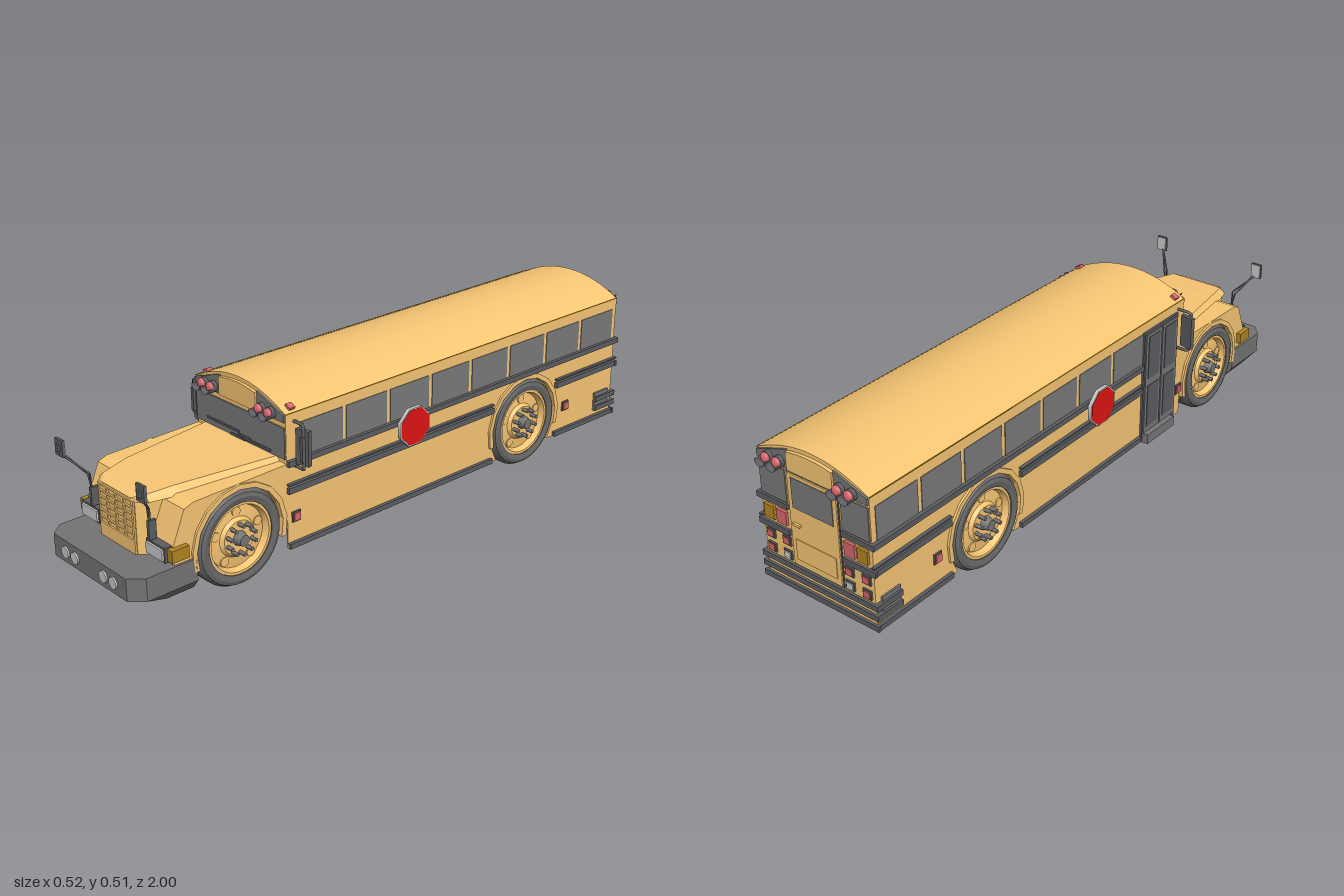
import * as THREE from 'three';
import { toCreasedNormals } from 'three/addons/utils/BufferGeometryUtils.js';

const mat = (color, o = {}) => new THREE.MeshStandardMaterial({ color, ...o });

export function createModel() {
  const bus = new THREE.Group();
  const yellow = mat(0xf8c674), flatYellow = mat(0xf8c674, { flatShading: true });
  const grey = mat(0x777777), glass = mat(0x7a7a7a), dark = mat(0x5c5e62), rubber = mat(0x686868);
  const darkFlat = mat(0x747474, { flatShading: true });
  const red = mat(0xd8666c), amber = mat(0xb08422), lamp = mat(0xc4c4c4), signRed = mat(0xe01414), plain = mat(0xcccccc);

  const add = (name, geo, m, parent = bus) => {
    const mesh = new THREE.Mesh(geo, m);
    mesh.name = name;
    parent.add(mesh);
    return mesh;
  };
  // Box given by its min and max along each axis
  const box = (name, m, [x0, x1], [y0, y1], [z0, z1], parent = bus) => {
    const b = add(name, new THREE.BoxGeometry(Math.abs(x1 - x0), y1 - y0, Math.abs(z1 - z0)), m, parent);
    b.position.set((x0 + x1) / 2, (y0 + y1) / 2, (z0 + z1) / 2);
    return b;
  };
  const shapeOf = pts => new THREE.Shape(pts.map(p => new THREE.Vector2(...p)));
  const extrude = (shape, depth) => new THREE.ExtrudeGeometry(shape, { depth, bevelEnabled: false });
  // Extrusion of a (z, y) side profile from x0 to x1, mirrored by s
  const sideExtrude = (shape, s, x0, x1) => extrude(shape, x1 - x0).rotateY(-Math.PI / 2).translate(s > 0 ? x1 : -x0, 0, 0);
  const disc = (name, m, r, depth, x, y, z, parent = bus) => {
    add(name, new THREE.CylinderGeometry(r, r, depth, 20).rotateX(Math.PI / 2), m, parent).position.set(x, y, z);
  };
  const tube = (name, m, pts, r) => {
    const path = new THREE.CurvePath();
    const v = pts.map(p => new THREE.Vector3(...p));
    for (let i = 1; i < v.length; i++) path.add(new THREE.LineCurve3(v[i - 1], v[i]));
    add(name, new THREE.TubeGeometry(path, pts.length * 8, r, 8), m);
  };
  // Closed solid through equal-length rings
  const loft = rings => {
    const pos = [], n = rings[0].length;
    const tri = (...p) => p.forEach(q => pos.push(...q));
    for (let i = 0; i + 1 < rings.length; i++) for (let j = 0; j < n; j++) {
      const k = (j + 1) % n, a = rings[i], b = rings[i + 1];
      tri(a[j], a[k], b[k]);
      tri(a[j], b[k], b[j]);
    }
    const s = rings[0], e = rings[rings.length - 1];
    for (let j = 1; j + 1 < n; j++) { tri(s[0], s[j + 1], s[j]); tri(e[0], e[j], e[j + 1]); }
    const g = new THREE.BufferGeometry();
    g.setAttribute('position', new THREE.Float32BufferAttribute(pos, 3));
    g.computeVertexNormals();
    return g;
  };

  const FRONT = 0.47, REAR = -0.96, AXLES = [0.64, -0.515], AY = 0.145;
  // Faceted wheel opening from low z to high z, cut at height y0
  const arch = (zc, y0, r = 0.155) => {
    const a0 = Math.asin((y0 - AY) / r), out = [];
    for (let i = 0; i <= 10; i++) {
      const a = Math.PI - a0 - i * (Math.PI - 2 * a0) / 10;
      out.push([zc + r * Math.cos(a), AY + r * Math.sin(a)]);
    }
    return out;
  };

  // Body shell, open underneath: roof with upper walls, then end walls
  const roofY = x => 0.46 + 0.053 * (1 - (x / 0.2) ** 2);
  const roofLine = [], innerLine = [];
  for (let i = 0; i <= 20; i++) {
    const x = 0.2 - i * 0.02;
    roofLine.push([x, roofY(x)]);
    innerLine.unshift([x * 0.975, roofY(x) - 0.005]);
  }
  const shell = shapeOf([[0.2, 0.31], ...roofLine, [-0.2, 0.31], [-0.195, 0.31], ...innerLine, [0.195, 0.31]]);
  add('roofAndWalls', toCreasedNormals(extrude(shell, FRONT - REAR).translate(0, 0, REAR), 0.4), yellow);
  const endWall = (name, y0, z) => add(name, extrude(shapeOf([[-0.2, y0], [0.2, y0], ...roofLine]), 0.005).translate(0, 0, z), yellow);
  endWall('frontWall', 0.31, FRONT - 0.005);
  endWall('rearWall', 0.05, REAR);

  // Engine hood, tapering to the nose
  const hoodRing = (z, w, wt, yt) => [[-w, 0.09, z], [w, 0.09, z], [w, 0.295, z], [wt + 0.02, 0.3, z], [wt, yt, z],
    [-wt, yt, z], [-wt - 0.02, 0.3, z], [-w, 0.295, z]];
  add('hood', loft([hoodRing(FRONT, 0.11, 0.16, 0.326), hoodRing(0.78, 0.11, 0.115, 0.324),
    hoodRing(0.87, 0.105, 0.095, 0.316), hoodRing(0.895, 0.085, 0.065, 0.305)]), flatYellow);
  box('chassis', grey, [-0.12, 0.12], [0.06, 0.13], [FRONT, 0.82]);

  // Grille panel with slots
  const grille = shapeOf([[-0.082, 0.14], [0.082, 0.14], [0.082, 0.303], [-0.082, 0.303]]);
  for (let r = 0; r < 6; r++) for (let c = 0; c < 4; c++) {
    const x = -0.0775 + c * 0.0395, y = 0.183 + r * 0.0198;
    grille.holes.push(shapeOf([[x, y], [x, y + 0.015], [x + 0.033, y + 0.015], [x + 0.033, y]]));
  }
  add('grille', extrude(grille, 0.008).translate(0, 0, 0.892), yellow);

  // Front bumper with cut corners and sloped underside
  const bumperRing = (y, w, zf, zc) => [[-w, y, 0.79], [-w, y, zc], [-w + 0.035, y, zf], [w - 0.035, y, zf], [w, y, zc], [w, y, 0.79]];
  add('frontBumper', loft([bumperRing(0.045, 0.185, 0.93, 0.88), bumperRing(0.075, 0.207, 0.995, 0.955),
    bumperRing(0.143, 0.207, 0.995, 0.955)]), darkFlat);

  // Windshield and wipers
  box('windshield', glass, [-0.198, 0.198], [0.326, 0.42], [FRONT, 0.474]);
  for (const [x0, x1, y] of [[-0.145, 0.0, 0.348], [0.0, 0.05, 0.34], [-0.035, 0.03, 0.331], [0.03, 0.14, 0.336]]) {
    box('wiper', dark, [x0, x1], [y - 0.003, y + 0.003], [0.474, 0.479]);
  }

  // Warning-light panels at both ends
  const visorMat = mat(0x5c5e62, { side: THREE.DoubleSide });
  for (const s of [1, -1]) {
    const end = new THREE.Group();
    end.name = s > 0 ? 'frontWarningLights' : 'rearWarningLights';
    end.position.z = s > 0 ? FRONT : REAR;
    end.rotation.y = s > 0 ? 0 : Math.PI;
    bus.add(end);
    const crown = [[-0.082, 0.437], [0.082, 0.437]];
    for (let i = 0; i <= 8; i++) crown.push([0.082 - i * 0.0205, roofY(0.082 - i * 0.0205) - 0.012]);
    add('crownPanel', extrude(shapeOf(crown), 0.01), yellow, end);
    for (const k of [-1, 1]) {
      const pts = [[0.084, 0.437], [0.198, 0.437], [0.198, 0.458], [0.14, 0.478], [0.084, 0.497]].map(([x, y]) => [k * x, y]);
      add('lightPanel', extrude(shapeOf(pts), 0.006), grey, end);
      for (const x of [0.108, 0.149]) {
        disc('lightHousing', dark, 0.0165, 0.016, k * x, 0.455, 0.01, end);
        const bulb = add('warningLight', new THREE.SphereGeometry(0.0155, 16, 10), red, end);
        bulb.position.set(k * x, 0.455, 0.02);
        bulb.scale.z = 0.7;
        const visor = add('lightVisor', new THREE.CylinderGeometry(0.018, 0.018, 0.036, 16, 1, true, Math.PI / 2, Math.PI)
          .rotateX(-Math.PI / 2), visorMat, end);
        visor.position.set(k * x, 0.455, 0.024);
      }
    }
  }

  // Wheel parts, facing +x
  const lathe = pts => toCreasedNormals(new THREE.LatheGeometry(pts.map(p => new THREE.Vector2(...p)), 40).rotateZ(-Math.PI / 2), 0.5);
  const tireGeo = lathe([[0, 0.11], [0.125, 0.11], [0.145, 0.118], [0.145, 0.19], [0.136, 0.206], [0.125, 0.21], [0.108, 0.206], [0.106, 0.175]]);
  const rimGeo = lathe([[0.108, 0.185], [0.108, 0.203], [0.1, 0.203], [0.093, 0.183], [0.06, 0.187], [0.052, 0.198], [0, 0.198]]);
  const boltGeo = new THREE.CylinderGeometry(0.006, 0.006, 0.025, 6).rotateZ(Math.PI / 2);
  const holeGeo = new THREE.CylinderGeometry(0.014, 0.014, 0.006, 16).rotateZ(Math.PI / 2);
  const ring = (name, geo, m, n, r, x, parent) => {
    for (let i = 0; i < n; i++) {
      const a = Math.PI / 2 + i * 2 * Math.PI / n;
      add(name, geo, m, parent).position.set(x, r * Math.sin(a), r * Math.cos(a));
    }
  };
  for (const zc of AXLES) for (const s of [1, -1]) {
    const wheel = new THREE.Group();
    wheel.name = zc > 0 ? 'frontWheel' : 'rearWheel';
    wheel.position.set(0, AY, zc);
    wheel.rotation.y = s > 0 ? 0 : Math.PI;
    bus.add(wheel);
    add('tire', tireGeo, rubber, wheel);
    add('rim', rimGeo, yellow, wheel);
    ring('rimHole', holeGeo, yellow, 5, 0.077, 0.186, wheel);
    ring('wheelBolt', boltGeo, grey, 10, 0.043, 0.209, wheel);
    add('hub', new THREE.CylinderGeometry(0.016, 0.023, 0.028, 16).rotateZ(-Math.PI / 2), grey, wheel).position.x = 0.208;
  }

  // Rubber rails, bumper strips and rear rails
  const rails = [[0.305, 0.322], [0.222, 0.24], [0.247, 0.252], [0.05, 0.066]];
  const rearEdge = REAR - 0.008;
  for (const y of [0.05, 0.083, 0.115]) box('rearBumperRail', dark, [-0.213, 0.213], [y, y + 0.017], [rearEdge, REAR]);

  for (const s of [1, -1]) {
    const X = (a, b) => [s * a, s * b];

    // Lower side wall with rear wheel opening
    const wall = shapeOf([[REAR, 0.05], ...arch(AXLES[1], 0.05), [FRONT, 0.05], [FRONT, 0.31], [REAR, 0.31]]);
    add('lowerWall', sideExtrude(wall, s, 0.195, 0.2), yellow);

    // Rear wheel well
    const well = [...arch(AXLES[1], 0.05, 0.158), ...arch(AXLES[1], 0.05, 0.154).reverse()];
    add('wheelWell', sideExtrude(shapeOf(well), s, 0.1, 0.195), flatYellow);
    add('wheelWellInner', sideExtrude(shapeOf(arch(AXLES[1], 0.05)), s, 0.1, 0.104), yellow);

    const start = s > 0 ? FRONT : 0.24;
    rails.forEach(([y0, y1], i) => {
      if (i === 0) box('sideRail', dark, X(0.2, 0.213), [y0, y1], [rearEdge, start]);
      else {
        box('sideRail', dark, X(0.2, 0.211), [y0, y1], [-0.365, start]);
        box('sideRail', dark, X(0.2, 0.211), [y0, y1], [rearEdge, -0.665]);
      }
      if (i < 2) box('rearRail', dark, X(0.098, 0.213), [y0, y1], [rearEdge, REAR]);
    });
    for (const y of [0.083, 0.115]) box('cornerRail', dark, X(0.2, 0.213), [y, y + 0.017], [rearEdge, -0.87]);
    box('cornerPlate', grey, X(0.2, 0.206), [0.083, 0.145], [-0.94, -0.87]);

    // Side windows
    for (let i = s > 0 ? 0 : 1; i < 8; i++) {
      const z = 0.42 - i * 0.172;
      box('sideWindow', glass, X(0.193, 0.202), [0.322, 0.425], [z - 0.158, z]);
    }
    box('roofSeam', amber, X(0.199, 0.202), [0.458, 0.461], [REAR, FRONT]);

    // Wheel arch lips and front fender
    for (const zc of AXLES) {
      const lip = shapeOf([...arch(zc, 0.1, 0.164), ...arch(zc, 0.1, 0.149).reverse()]);
      add('wheelArch', sideExtrude(lip, s, 0.19, 0.207), yellow);
    }
    const fender = shapeOf([[FRONT, 0.14], ...arch(AXLES[0], 0.14), [0.86, 0.14], [0.86, 0.2], [0.82, 0.295], [0.79, 0.306], [FRONT, 0.312]]);
    add('frontFender', sideExtrude(fender, s, 0.1, 0.2), yellow);

    // Headlight, turn signal, fog lights
    box('headlightFrame', dark, X(0.111, 0.194), [0.155, 0.2], [0.84, 0.884]);
    box('headlight', lamp, X(0.116, 0.189), [0.161, 0.194], [0.884, 0.89]);
    box('turnSignal', amber, X(0.19, 0.216), [0.16, 0.196], [0.82, 0.876]);
    for (const x of [0.068, 0.114]) disc('fogLight', lamp, 0.0175, 0.01, s * x, 0.108, 0.995);

    // Hood mirror on its stalk
    box('mirrorBase', dark, X(0.13, 0.14), [0.205, 0.262], [0.868, 0.892]);
    tube('mirrorStalk', dark, [[s * 0.135, 0.255, 0.885], [s * 0.143, 0.3, 0.89], [s * 0.19, 0.372, 0.945]], 0.003);
    tube('mirrorBrace', dark, [[s * 0.135, 0.23, 0.885], [s * 0.133, 0.305, 0.89], [s * 0.188, 0.362, 0.945]], 0.0025);
    box('hoodMirror', dark, X(0.172, 0.208), [0.355, 0.405], [0.938, 0.946]);
    box('hoodMirrorBack', dark, X(0.183, 0.197), [0.37, 0.39], [0.946, 0.953]);
    box('hoodMirrorGlass', plain, X(0.174, 0.206), [0.357, 0.403], [0.935, 0.938]);

    // Side mirror on its bracket
    tube('mirrorBracket', dark, [[s * 0.198, 0.434, 0.44], [s * 0.235, 0.434, 0.44], [s * 0.245, 0.428, 0.445],
      [s * 0.245, 0.305, 0.445], [s * 0.235, 0.3, 0.44], [s * 0.198, 0.3, 0.44]], 0.005);
    box('sideMirror', dark, X(0.215, 0.26), [0.314, 0.42], [0.432, 0.446]).rotation.y = s * 0.2;
    box('mirrorClamp', dark, X(0.24, 0.251), [0.328, 0.402], [0.444, 0.455]);

    // Stop sign
    const octagon = (name, m, r, t) => add(name, new THREE.CylinderGeometry(r, r, t, 8).rotateY(Math.PI / 8).rotateZ(Math.PI / 2), m)
      .position.set(s * 0.223, 0.295, 0);
    octagon('stopSignRim', plain, 0.064, 0.012);
    octagon('stopSign', signRed, 0.06, 0.0135);
    box('signMount', dark, X(0.2, 0.218), [0.27, 0.32], [-0.02, 0.02]);

    // Marker lights
    box('roofMarker', red, X(0.174, 0.194), [0.467, 0.477], [0.43, 0.45]).rotation.z = -s * 0.45;
    for (const z of [s > 0 ? 0.44 : 0.455, -0.72]) {
      box('sideMarkerFrame', dark, X(0.2, 0.205), [0.128, 0.16], [z - 0.015, z + 0.015]);
      box('sideMarker', red, X(0.205, 0.209), [0.132, 0.156], [z - 0.011, z + 0.011]);
    }

    // Rear windows and lamps
    const Z = [REAR - 0.008, REAR];
    box('rearWindow', glass, X(0.1, 0.196), [0.325, 0.428], [REAR - 0.004, REAR]);
    box('brakeLight', red, X(0.105, 0.142), [0.252, 0.294], Z);
    box('rearSignal', amber, X(0.152, 0.188), [0.252, 0.294], Z);
    for (const [x, y, m] of [[0.115, 0.2, red], [0.175, 0.2, red], [0.115, 0.155, plain], [0.175, 0.155, red]]) {
      box('rearLampFrame', dark, X(x - 0.015, x + 0.015), [y - 0.014, y + 0.014], [REAR - 0.005, REAR]);
      box('rearLamp', m, X(x - 0.011, x + 0.011), [y - 0.01, y + 0.01], Z);
    }
  }

  // Rear emergency door
  box('rearDoorSeal', dark, [-0.092, 0.092], [0.136, 0.432], [REAR - 0.003, REAR]);
  box('rearDoor', yellow, [-0.088, 0.088], [0.14, 0.428], [REAR - 0.007, REAR]);
  box('rearDoorWindow', glass, [-0.074, 0.074], [0.325, 0.418], [REAR - 0.009, REAR]);
  box('rearDoorPanel', yellow, [-0.074, 0.074], [0.16, 0.225], [REAR - 0.009, REAR]);
  box('rearDoorHandle', yellow, [0.05, 0.075], [0.27, 0.278], [REAR - 0.014, REAR]);

  // Folding entrance door with step on the right side
  box('doorFrame', dark, [-0.207, -0.198], [0.05, 0.428], [0.245, 0.43]);
  for (const z of [0.252, 0.341]) {
    box('doorLeaf', grey, [-0.211, -0.2], [0.075, 0.42], [z, z + 0.083]);
    for (const y of [0.095, 0.265]) box('doorWindow', dark, [-0.213, -0.2], [y, y + 0.145], [z + 0.012, z + 0.071]);
  }
  box('entranceStep', grey, [-0.228, -0.2], [0.042, 0.075], [0.25, 0.4]);
  return bus;
}
